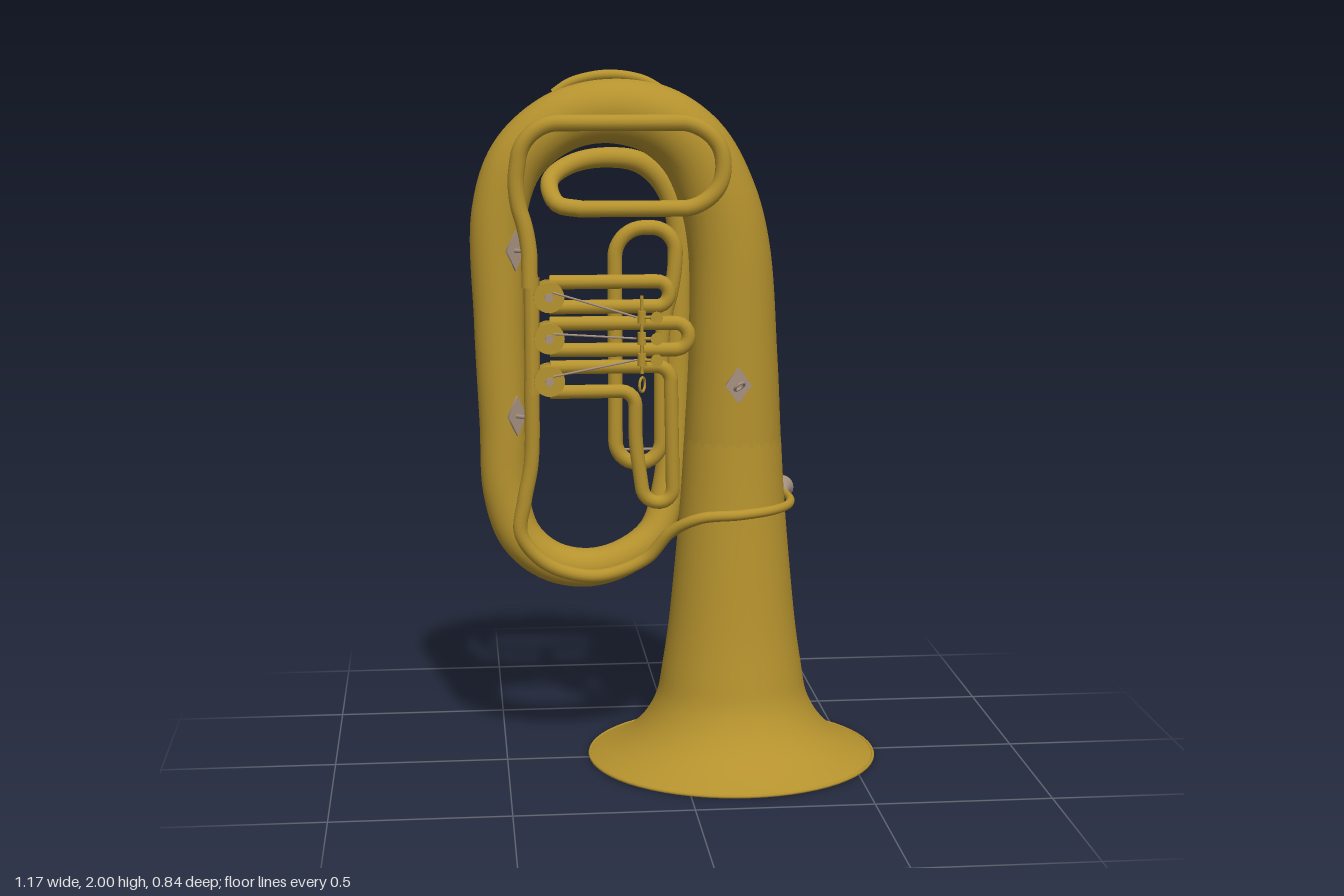
import * as THREE from 'three';

const gold = new THREE.MeshStandardMaterial({ color: 0xb5922e, side: THREE.DoubleSide });
gold.name = 'brass';
const silver = new THREE.MeshStandardMaterial({ color: 0xa59080, side: THREE.DoubleSide });
silver.name = 'nickel';

const V = (x, y, z) => new THREE.Vector3(x, y, z);

function add(parent, name, geo, mat = gold, pos = [0, 0, 0], rot = [0, 0, 0]) {
  const m = new THREE.Mesh(geo, mat);
  m.name = name;
  m.position.set(...pos);
  m.rotation.set(...rot);
  parent.add(m);
  return m;
}

// Smooth tube whose radius follows the fourth number of each point
function taperedTube(pts, segs, sides) {
  const curve = new THREE.CatmullRomCurve3(pts.map(p => V(p[0], p[1], p[2])));
  const geo = new THREE.TubeGeometry(curve, segs, 1, sides);
  const pos = geo.attributes.position, nor = geo.attributes.normal;
  for (let i = 0; i <= segs; i++) {
    const u = i / segs, c = curve.getPointAt(u);
    const t = curve.getUtoTmapping(u) * (pts.length - 1);
    const k = Math.min(Math.floor(t), pts.length - 2);
    const r = THREE.MathUtils.lerp(pts[k][3], pts[k + 1][3], t - k);
    for (let j = 0; j <= sides; j++) {
      const n = i * (sides + 1) + j;
      pos.setXYZ(n, c.x + nor.getX(n) * r, c.y + nor.getY(n) * r, c.z + nor.getZ(n) * r);
    }
  }
  return geo;
}

// Constant tube along straight runs with rounded corners
function bentTube(pts, r, bend, segs = 60) {
  const p = pts.map(a => V(...a)), path = new THREE.CurvePath();
  let from = p[0];
  for (let i = 1; i < p.length - 1; i++) {
    const dA = p[i - 1].clone().sub(p[i]), dB = p[i + 1].clone().sub(p[i]);
    const b = Math.min(bend, dA.length() * 0.49, dB.length() * 0.49);
    const a = p[i].clone().addScaledVector(dA.normalize(), b);
    const c = p[i].clone().addScaledVector(dB.normalize(), b);
    path.add(new THREE.LineCurve3(from, a));
    const h1 = a.clone().lerp(p[i], 0.55), h2 = c.clone().lerp(p[i], 0.55);
    path.add(new THREE.CubicBezierCurve3(a, h1, h2, c));
    from = c;
  }
  path.add(new THREE.LineCurve3(from, p[p.length - 1]));
  return new THREE.TubeGeometry(path, segs, r, 12);
}

const rod = (a, b, r) => new THREE.TubeGeometry(new THREE.LineCurve3(V(...a), V(...b)), 1, r, 8);

// Diamond fixing plate, optionally carrying a strap ring
function diamond(parent, pos, turn, w, h, ring) {
  const g = new THREE.Group();
  g.name = ring ? 'strapRing' : 'bracePlate';
  g.position.set(...pos);
  g.rotation.y = turn;
  const plate = new THREE.CylinderGeometry(1, 1, 0.008, 4).rotateX(Math.PI / 2).scale(w, h, 1);
  add(g, 'diamondPlate', plate, silver);
  if (ring) {
    add(g, 'ringPost', rod([0, 0, 0], [0, 0, 0.012], 0.008), silver);
    add(g, 'ring', new THREE.TorusGeometry(0.016, 0.004, 8, 20), silver, [0, 0, 0.024], [0.9, 0.5, 0]);
  }
  parent.add(g);
}

export function createModel() {
  const model = new THREE.Group();
  model.name = 'tuba';

  // Bell with a beaded rim
  const profile = [[0.42, 0.004], [0.385, 0.02], [0.34, 0.043], [0.295, 0.075], [0.262, 0.11], [0.236, 0.15],
    [0.216, 0.2], [0.204, 0.27], [0.185, 0.4], [0.165, 0.6], [0.15, 0.78], [0.14, 0.95]];
  const smooth = new THREE.SplineCurve(profile.map(p => new THREE.Vector2(...p))).getPoints(40);
  add(model, 'bell', new THREE.LatheGeometry(smooth, 48), gold, [0.16, 0, 0]);
  add(model, 'bellRim', new THREE.TorusGeometry(0.417, 0.005, 8, 64), gold, [0.16, 0.005, 0], [Math.PI / 2, 0, 0]);

  // Main bore: bell throat, top bow, outer branch, bottom bow, rear branch
  add(model, 'mainBore', taperedTube([
    [0.16, 0.94, 0, 0.141], [0.16, 1.2, 0, 0.128], [0.147, 1.5, 0, 0.117], [0.112, 1.65, 0, 0.111],
    [0.045, 1.78, 0, 0.105], [-0.06, 1.86, 0, 0.098], [-0.2, 1.885, 0, 0.09], [-0.33, 1.855, 0, 0.086],
    [-0.45, 1.755, 0, 0.081], [-0.505, 1.6, 0, 0.078], [-0.508, 1.3, 0, 0.072], [-0.5, 1, 0, 0.068],
    [-0.495, 0.8, 0, 0.065], [-0.455, 0.67, 0, 0.061], [-0.37, 0.595, 0, 0.058], [-0.26, 0.572, 0, 0.056],
    [-0.15, 0.6, -0.01, 0.053], [-0.06, 0.67, -0.035, 0.05], [-0.02, 0.8, -0.07, 0.046],
    [0, 1, -0.1, 0.042], [0.012, 1.3, -0.11, 0.037], [0.012, 1.57, -0.115, 0.034], [-0.03, 1.675, -0.115, 0.032],
    [-0.1, 1.735, -0.105, 0.031], [-0.2, 1.75, -0.085, 0.029], [-0.3, 1.735, -0.03, 0.027],
    [-0.365, 1.69, 0.055, 0.025], [-0.345, 1.633, 0.115, 0.024], [-0.28, 1.62, 0.127, 0.024],
  ], 260, 24));

  // Front tuning slide, running down into the valves
  add(model, 'tuningSlide', bentTube([
    [-0.29, 1.62, 0.127], [0.07, 1.62, 0.132], [0.135, 1.74, 0.132], [0.065, 1.857, 0.13], [-0.44, 1.857, 0.115],
    [-0.467, 1.66, 0.1], [-0.425, 1.54, 0.105], [-0.425, 1.4, 0.11],
  ], 0.023, 0.1, 120));

  // Leadpipe from mouthpiece to valves
  add(model, 'leadpipe', taperedTube([
    [0.333, 0.755, -0.14, 0.011], [0.335, 0.755, -0.03, 0.012], [0.31, 0.755, 0.06, 0.013], [0.25, 0.755, 0.13, 0.014],
    [0.16, 0.752, 0.166, 0.015], [0.05, 0.742, 0.155, 0.016], [-0.03, 0.695, 0.11, 0.017], [-0.1, 0.61, 0.075, 0.018],
    [-0.24, 0.562, 0.068, 0.019], [-0.38, 0.6, 0.072, 0.02], [-0.455, 0.69, 0.08, 0.02], [-0.445, 0.79, 0.085, 0.021],
    [-0.425, 0.9, 0.09, 0.021], [-0.422, 1.14, 0.11, 0.022],
  ], 140, 14));
  const cup = [[0.012, 0], [0.014, 0.035], [0.037, 0.085], [0.038, 0.09], [0.031, 0.09], [0.008, 0.06]]
    .map(p => new THREE.Vector2(...p));
  add(model, 'mouthpiece', new THREE.LatheGeometry(cup, 24), silver, [0.333, 0.755, -0.12], [-Math.PI / 2, 0, 0]);

  // Rotary valves
  const valves = new THREE.Group();
  valves.name = 'valves';
  model.add(valves);
  add(valves, 'valveLink', rod([-0.42, 1.1, 0.11], [-0.42, 1.43, 0.11], 0.022));
  [1.376, 1.26, 1.14].forEach((y, i) => {
    const x = -0.373, turn = [Math.PI / 2, 0, 0];
    add(valves, 'valveCasing', new THREE.CylinderGeometry(0.038, 0.038, 0.07, 24), gold, [x, y, 0.105], turn);
    add(valves, 'valveCap', new THREE.CylinderGeometry(0.043, 0.043, 0.014, 24), gold, [x, y, 0.14], turn);
    add(valves, 'valveBackCap', new THREE.CylinderGeometry(0.043, 0.043, 0.014, 24), gold, [x, y, 0.072], turn);
    add(valves, 'valveStem', new THREE.CylinderGeometry(0.012, 0.012, 0.014, 12), silver, [x, y, 0.152], turn);
    // Key linkage
    const ky = 1.32 - i * 0.06;
    add(valves, 'linkRod', rod([x + 0.01, y + 0.015, 0.15], [-0.13, ky, 0.155], 0.003), silver);
    add(valves, 'keyBarrel', new THREE.CylinderGeometry(0.012, 0.012, 0.035, 12), gold, [-0.115, ky, 0.155]);
    add(valves, 'keyPaddle', new THREE.CylinderGeometry(0.017, 0.017, 0.008, 16), gold, [-0.075, ky, 0.175], turn);
    add(valves, 'keyLever', rod([-0.115, ky, 0.158], [-0.075, ky, 0.172], 0.005));
  });
  add(valves, 'keyAxle', rod([-0.115, 1.16, 0.155], [-0.115, 1.38, 0.155], 0.005));
  add(valves, 'thumbRing', new THREE.TorusGeometry(0.02, 0.004, 8, 24), gold, [-0.115, 1.13, 0.16], [0, 1.1, 0]);

  // Valve slides
  const slides = new THREE.Group();
  slides.name = 'valveSlides';
  model.add(slides);
  add(slides, 'firstSlide', bentTube([[-0.37, 1.415, 0.11], [-0.035, 1.415, 0.11],
    [-0.035, 1.345, 0.11], [-0.37, 1.345, 0.11]], 0.02, 0.034));
  add(slides, 'secondSlide', bentTube([[-0.37, 1.3, 0.115], [0.018, 1.3, 0.135],
    [0.018, 1.225, 0.135], [-0.37, 1.225, 0.115]], 0.02, 0.037));
  add(slides, 'thirdSlide', bentTube([[-0.37, 1.175, 0.11], [-0.03, 1.175, 0.11], [-0.022, 0.78, 0.095],
    [-0.105, 0.78, 0.095], [-0.13, 0.96, 0.1], [-0.13, 1.105, 0.11], [-0.37, 1.105, 0.11]], 0.02, 0.042, 100));
  add(slides, 'rearSlide', bentTube([[-0.182, 1.2, 0.04], [-0.182, 1.56, 0.04], [-0.01, 1.56, 0.04], [-0.01, 1.42, 0.045],
    [-0.05, 1.28, 0.045], [-0.05, 0.885, 0.04], [-0.182, 0.885, 0.04], [-0.182, 1.2, 0.04]], 0.021, 0.085, 110));
  add(slides, 'slideBrace', rod([-0.18, 0.925, 0.04], [-0.05, 0.925, 0.04], 0.004), silver);

  // Carrying guard over the top bow
  add(model, 'topGuard', taperedTube([
    [-0.35, 1.935, 0, 0.012], [-0.3, 1.965, 0, 0.014], [-0.2, 1.985, 0, 0.015],
    [-0.1, 1.972, 0, 0.014], [-0.03, 1.935, 0, 0.012],
  ], 30, 12));

  // Braces between outer branch and leadpipe, and on the top bow
  for (const y of [1.5, 1.03]) {
    diamond(model, [-0.463, y, 0.058], 0.65, 0.032, 0.058, false);
    add(model, 'brace', rod([-0.475, y, 0.05], [-0.425, y, 0.1], 0.006), silver);
  }
  add(model, 'topBrace', rod([-0.2, 1.88, 0.07], [-0.2, 1.86, 0.122], 0.006));

  // Strap rings on the bell
  diamond(model, [0.16, 1.12, 0.134], 0, 0.038, 0.052, true);
  diamond(model, [0.15, 1.53, -0.118], Math.PI, 0.038, 0.052, true);
  diamond(model, [0.16, 0.66, -0.163], Math.PI, 0.038, 0.052, true);

  return model;
}
